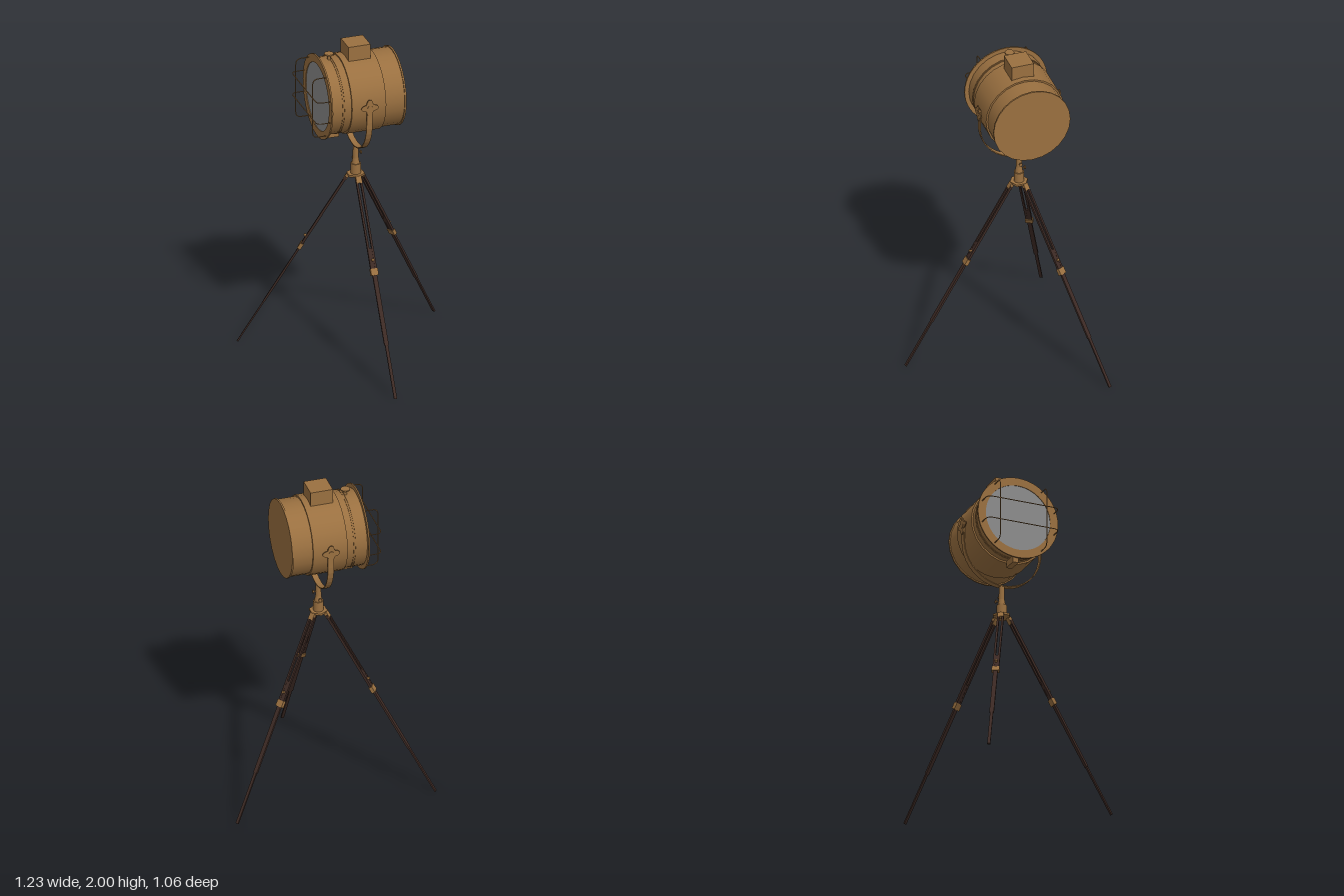
import * as THREE from 'three';

const brass = new THREE.MeshStandardMaterial({ color: 0x9a7040 });
brass.name = 'brass';
const wood = new THREE.MeshStandardMaterial({ color: 0x3d2a24 });
wood.name = 'darkWood';
const glass = new THREE.MeshStandardMaterial({ color: 0x8c8c8c });
glass.name = 'greyGlass';

const HUB_Z = -0.17, LAMP_Y = 1.68;

function add(parent, name, geometry, material, x = 0, y = 0, z = 0) {
  const mesh = new THREE.Mesh(geometry, material);
  mesh.name = name;
  mesh.position.set(x, y, z);
  parent.add(mesh);
  return mesh;
}
const box = (w, h, d) => new THREE.BoxGeometry(w, h, d);
const rod = (r, h, sides = 12) => new THREE.CylinderGeometry(r, r, h, sides);
// cylinder lying along x between two positions
const drum = (r, x0, x1) => rod(r, x1 - x0, 24).rotateZ(-Math.PI / 2).translate((x0 + x1) / 2, 0, 0);

// U-shaped guard wire: spans +-half across, bulges to -x
function guardWire(half) {
  const near = -0.23, far = -0.318, c = 0.035;
  const path = new THREE.CurvePath();
  const v = (x, y) => new THREE.Vector3(x, y, 0);
  const line = (a, b) => path.add(new THREE.LineCurve3(a, b));
  const bend = (a, b, d) => path.add(new THREE.QuadraticBezierCurve3(a, b, d));
  line(v(near, half), v(far + c, half));
  bend(v(far + c, half), v(far, half), v(far, half - c));
  line(v(far, half - c), v(far, c - half));
  bend(v(far, c - half), v(far, -half), v(far + c, -half));
  line(v(far + c, -half), v(near, -half));
  return new THREE.TubeGeometry(path, 48, 0.003, 6);
}

// four-lobed clamping knob
function starShape() {
  const pts = [];
  for (let i = 0; i < 48; i++) {
    const a = (i / 48) * Math.PI * 2, r = 0.042 + 0.011 * Math.cos(4 * a);
    pts.push(new THREE.Vector2(r * Math.cos(a), r * Math.sin(a)));
  }
  return new THREE.Shape(pts);
}

// strip outline of the yoke: straight arms joined by a half circle
function yokeGeometry() {
  const pts = [];
  const side = (r, flip) => {
    const run = [new THREE.Vector2(-r, 0.03)];
    for (let i = 0; i <= 20; i++) {
      const a = Math.PI + (i / 20) * Math.PI;
      run.push(new THREE.Vector2(r * Math.cos(a), -0.1 + r * Math.sin(a)));
    }
    run.push(new THREE.Vector2(r, 0.03));
    pts.push(...(flip ? run.reverse() : run));
  };
  side(0.247, false);
  side(0.241, true);
  return new THREE.ExtrudeGeometry(new THREE.Shape(pts), { depth: 0.036, bevelEnabled: false })
    .translate(0, 0, -0.018).rotateY(Math.PI / 2);
}

function buildLamp() {
  const lamp = new THREE.Group();
  lamp.name = 'lampHead';
  lamp.position.set(0, LAMP_Y, HUB_Z);

  add(lamp, 'housing', drum(0.23, -0.228, 0.225), brass);
  add(lamp, 'middleBand', drum(0.24, -0.105, 0.105), brass);
  add(lamp, 'rearCap', drum(0.237, 0.222, 0.232), brass);
  for (const x of [-0.158, -0.147]) add(lamp, 'housingRidge', drum(0.233, x - 0.002, x + 0.002), brass);

  // front rim and lens
  const ring = new THREE.Shape().absarc(0, 0, 0.255, 0, Math.PI * 2);
  ring.holes.push(new THREE.Path().absarc(0, 0, 0.205, 0, Math.PI * 2, true));
  add(lamp, 'frontRim', new THREE.ExtrudeGeometry(ring, { depth: 0.009, bevelEnabled: false, curveSegments: 24 })
    .rotateY(-Math.PI / 2), brass, -0.228);
  add(lamp, 'lens', drum(0.207, -0.233, -0.227), glass);

  // guard: two upright and two level wires
  for (const s of [-1, 1]) {
    add(lamp, 'uprightGuardWire', guardWire(0.188), brass, 0, 0, s * 0.148);
    add(lamp, 'levelGuardWire', guardWire(0.228).rotateX(Math.PI / 2), brass, 0, s * 0.068, 0);
  }

  // vent box, top catch and lower bracket
  add(lamp, 'ventBox', box(0.136, 0.1, 0.136), brass, 0, 0.27, 0);
  add(lamp, 'catchStem', rod(0.01, 0.05), brass, -0.165, 0.24, 0);
  add(lamp, 'catchKnob', rod(0.028, 0.008, 20), brass, -0.165, 0.264, 0);
  add(lamp, 'lowerBracket', box(0.095, 0.05, 0.035), brass, -0.155, -0.246, 0);

  // yoke with a star knob on each side
  add(lamp, 'yoke', yokeGeometry(), brass);
  for (const s of [-1, 1]) {
    const knob = new THREE.ExtrudeGeometry(starShape(), { depth: 0.006, bevelEnabled: false });
    add(lamp, 'starKnob', knob.translate(0, 0, -0.003), brass, 0, 0, s * 0.251);
    add(lamp, 'knobBolt', rod(0.016, 0.03).rotateX(Math.PI / 2), brass, 0, 0, s * 0.241);
  }
  return lamp;
}

function buildStem() {
  const stem = new THREE.Group();
  stem.name = 'stem';
  stem.position.z = HUB_Z;
  add(stem, 'upperStem', new THREE.CylinderGeometry(0.016, 0.018, 0.1, 16), brass, 0, 1.29);
  add(stem, 'middleStem', new THREE.CylinderGeometry(0.018, 0.026, 0.05, 16), brass, 0, 1.225);
  add(stem, 'lowerStem', rod(0.03, 0.07, 16), brass, 0, 1.18);
  add(stem, 'hubPlate', rod(0.055, 0.012, 6), brass, 0, 1.146);
  // tightening screws
  add(stem, 'sideScrew', rod(0.004, 0.03, 8).rotateZ(Math.PI / 2), brass, 0.02, 1.28);
  add(stem, 'sideScrewHead', rod(0.011, 0.006).rotateZ(Math.PI / 2), brass, 0.032, 1.28);
  add(stem, 'rearScrew', rod(0.004, 0.03, 8).rotateX(Math.PI / 2), brass, 0, 1.235, -0.025);
  add(stem, 'rearScrewHead', rod(0.011, 0.006).rotateX(Math.PI / 2), brass, 0, 1.235, -0.037);
  return stem;
}

// one leg; local -y runs down its length, local x is its width
function buildLeg(angle) {
  const turn = new THREE.Group();
  turn.name = 'leg';
  turn.position.z = HUB_Z;
  turn.rotation.y = angle;
  const leg = new THREE.Group();
  leg.name = 'legSections';
  leg.position.set(0, 1.14, 0.045);
  leg.rotation.x = -Math.atan2(0.655, 1.137);
  turn.add(leg);

  const section = (name, w, d, from, to, mat, x = 0) =>
    add(leg, name, box(w, to - from, d), mat, x, -(from + to) / 2, 0);
  section('legHinge', 0.034, 0.02, -0.005, 0.035, brass);
  for (const s of [-1, 1]) section('upperSlat', 0.012, 0.014, 0.015, 0.56, wood, s * 0.013);
  section('middleSlat', 0.026, 0.012, 0.42, 0.993, wood);
  section('lowerSlat', 0.018, 0.009, 0.95, 1.312, wood);
  section('legClamp', 0.045, 0.022, 0.54, 0.58, brass);
  add(leg, 'clampScrew', rod(0.008, 0.014).rotateX(Math.PI / 2), brass, 0, -0.49, 0.012);
  return turn;
}

export function createModel() {
  const model = new THREE.Group();
  model.name = 'tripodFloorLamp';
  model.add(buildLamp(), buildStem());
  for (let i = 0; i < 3; i++) model.add(buildLeg((i * Math.PI * 2) / 3));
  return model;
}
